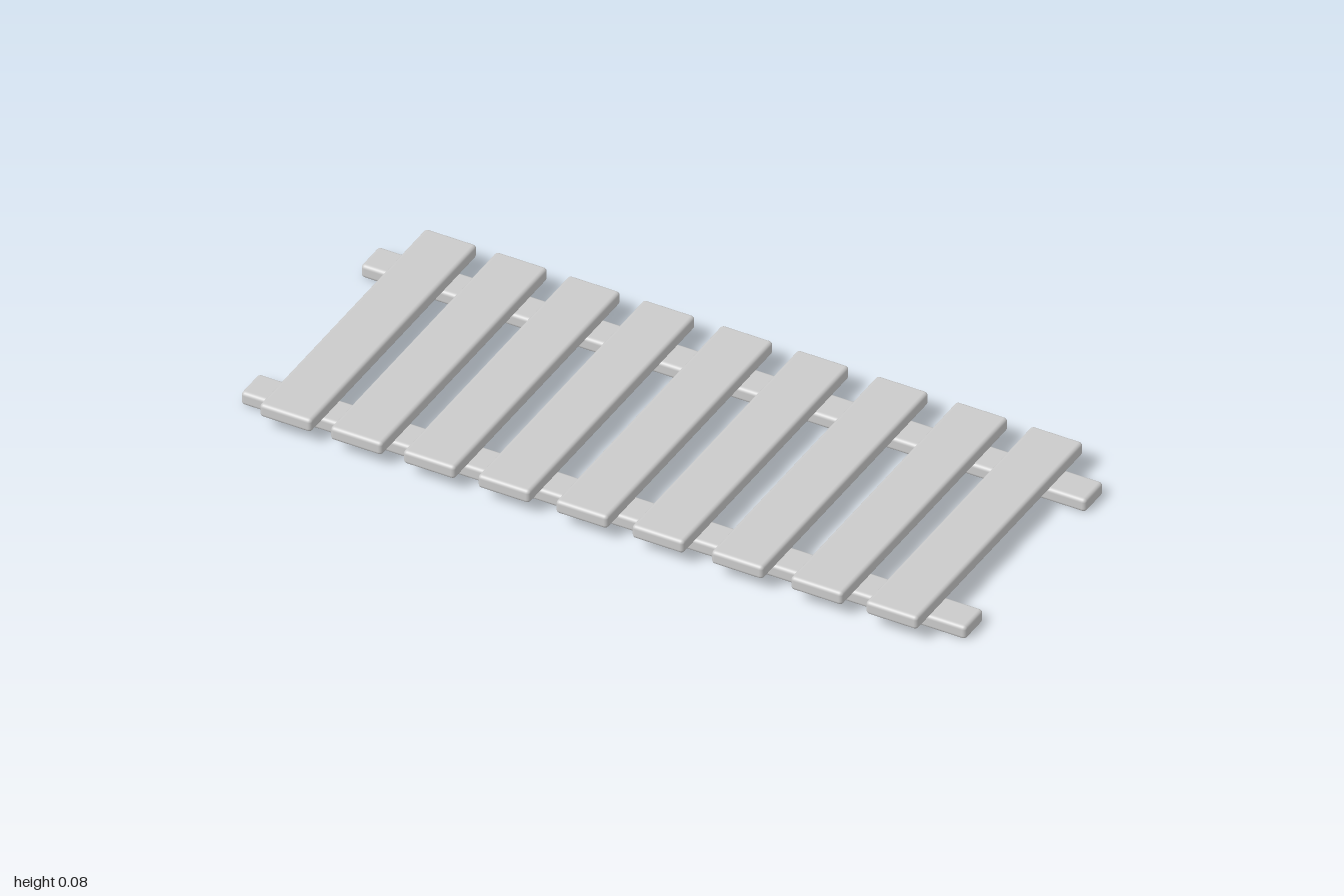
import * as THREE from 'three';
import { RoundedBoxGeometry } from 'three/addons/geometries/RoundedBoxGeometry.js';

const THICK = 0.038;
const BEVEL = 0.01;

export function createModel() {
  const group = new THREE.Group();
  const material = new THREE.MeshStandardMaterial({ color: 0xcccccc });

  const addPlank = (name, geometry, x, y, z) => {
    const mesh = new THREE.Mesh(geometry, material);
    mesh.name = name;
    mesh.position.set(x, y, z);
    group.add(mesh);
  };

  // Two long rails lying on the ground
  const railGeometry = new RoundedBoxGeometry(2, THICK, 0.091, 3, BEVEL);
  addPlank('frontRail', railGeometry, 0, THICK / 2, 0.302);
  addPlank('backRail', railGeometry, 0, THICK / 2, -0.295);

  // Slats laid across the rails with slightly uneven spacing
  const slatGeometry = new RoundedBoxGeometry(0.143, THICK, 0.83, 3, BEVEL);
  const slatCentres = [-0.84, -0.645, -0.444, -0.238, -0.023, 0.187, 0.406, 0.625, 0.832];
  slatCentres.forEach((x, i) => addPlank(`slat${i + 1}`, slatGeometry, x, THICK * 1.5, 0));

  return group;
}
